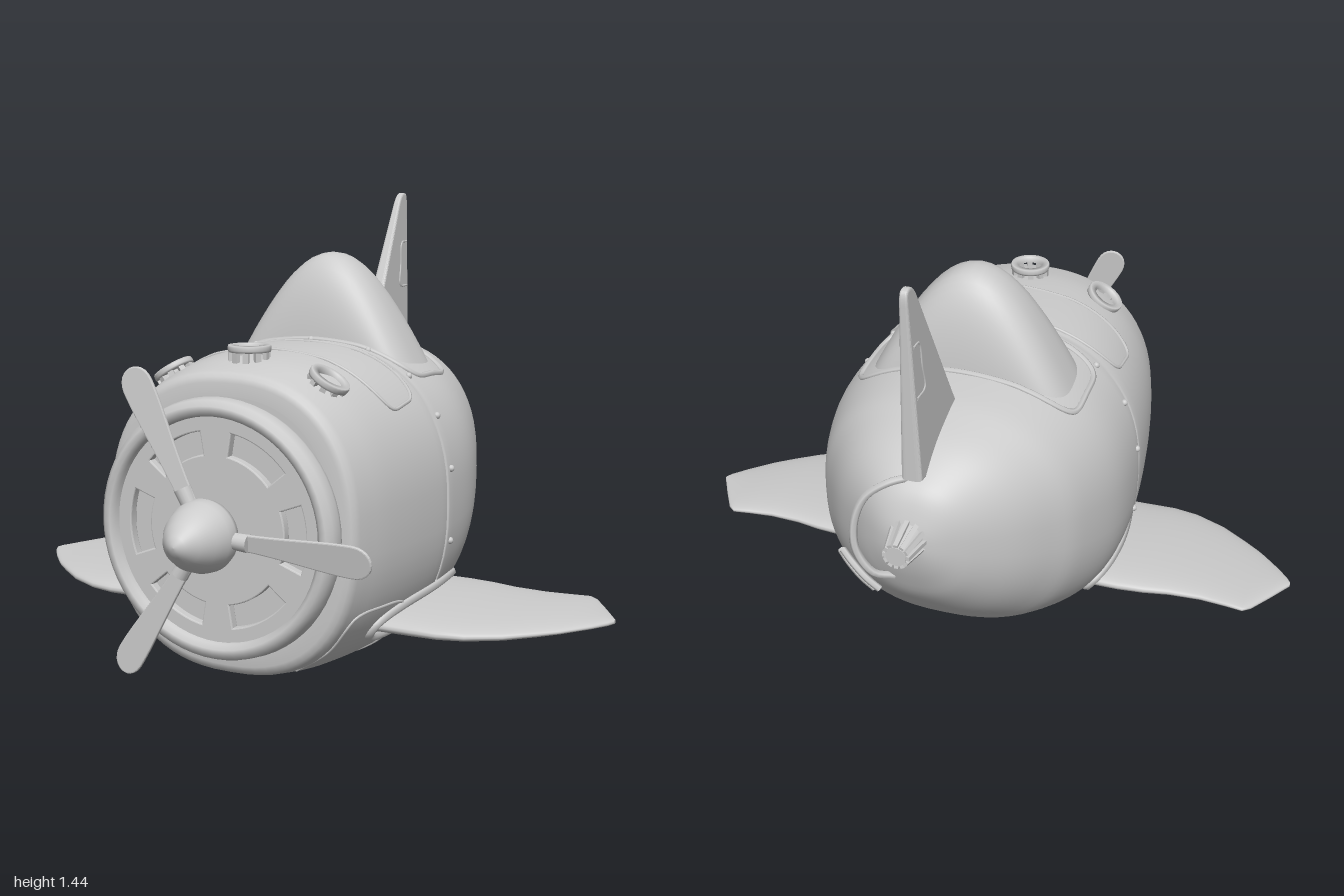
import * as THREE from 'three';

const V = (x, y, z) => new THREE.Vector3(x, y, z);
const mat = new THREE.MeshStandardMaterial({ color: 0xcccccc, side: THREE.DoubleSide });
const spow = (v, p) => Math.sign(v) * Math.abs(v) ** p;
const TAU = Math.PI * 2;
const N = 2.4; // roundness exponent of the fuselage section

// fuselage sections: z, top, bottom, half width
const rows = [
  [-.77, .69, .66, .02], [-.755, .75, .59, .075], [-.73, .81, .52, .125], [-.69, .85, .44, .18],
  [-.6, .905, .33, .275], [-.5, .94, .235, .35], [-.4, .962, .16, .41], [-.2, .982, .058, .472],
  [0, .985, .015, .483], [.2, .985, .01, .468], [.4, .972, .025, .44], [.53, .945, .05, .41],
];
const heights = new THREE.CatmullRomCurve3(rows.map(r => V(r[0], r[1], r[2])), false, 'catmullrom');
const widths = new THREE.CatmullRomCurve3(rows.map(r => V(r[0], r[3], 0)), false, 'catmullrom');

function section(z) {
  let lo = 0, hi = 1;
  for (let i = 0; i < 24; i++) {
    const m = (lo + hi) / 2;
    if (heights.getPoint(m).x < z) lo = m; else hi = m;
  }
  const h = heights.getPoint(lo);
  return { cy: (h.y + h.z) / 2, hh: (h.y - h.z) / 2, hw: widths.getPoint(lo).y };
}
const bow = v => Math.max(0, 1 - Math.min(1, Math.abs(v)) ** N) ** (1 / N);
// points on the skin, by side height or by top offset
const onSide = (z, y) => { const s = section(z); return V(s.hw * bow((y - s.cy) / s.hh), y, z); };
const onTop = (z, x) => { const s = section(z); return V(x, s.cy + s.hh * bow(x / s.hw), z); };
function skin(z, t, inset = 0) {
  const s = section(z);
  return V((s.hw - inset) * spow(Math.cos(t), 2 / N), s.cy + (s.hh - inset) * spow(Math.sin(t), 2 / N), z);
}
const loop = (n, f) => Array.from({ length: n }, (_, i) => f(i / n * TAU));

// skin stretched over closed rings, with capped ends
function loft(rings) {
  const m = rings[0].length, pts = rings.flat(), idx = [];
  for (let i = 0; i < rings.length - 1; i++) for (let j = 0; j < m; j++) {
    const a = i * m + j, b = i * m + (j + 1) % m;
    idx.push(a, b, b + m, a, b + m, a + m);
  }
  for (const [k, flip] of [[0, true], [rings.length - 1, false]]) {
    const base = pts.length;
    pts.push(...rings[k], rings[k].reduce((s, p) => s.add(p), V(0, 0, 0)).divideScalar(m));
    for (let j = 0; j < m; j++) {
      const a = base + j, b = base + (j + 1) % m;
      idx.push(...(flip ? [b, a, base + m] : [a, b, base + m]));
    }
  }
  const g = new THREE.BufferGeometry().setFromPoints(pts);
  g.setIndex(idx);
  g.computeVertexNormals();
  return g;
}

export function createModel() {
  const model = new THREE.Group();
  const add = (name, geo, parent = model) => {
    const mesh = new THREE.Mesh(geo, mat);
    mesh.name = name;
    parent.add(mesh);
    return mesh;
  };
  const tube = (name, pts, r, closed = false) => add(name,
    new THREE.TubeGeometry(new THREE.CatmullRomCurve3(pts, closed), pts.length * 4, r, 6, closed));
  const turned = (name, pts, seg = 48) => {
    const m = add(name, new THREE.LatheGeometry(pts.map(p => new THREE.Vector2(...p)), seg).rotateX(Math.PI / 2));
    m.position.y = .497;
    return m;
  };
  const body = (name, list) => add(name, loft(list.map(([z, inset]) => loop(72, t => skin(z, t, inset)))));

  // fuselage halves with a sunken seam between them
  const rear = [];
  for (let i = 0; i <= 40; i++) rear.push([-.769 + .8 * (1 - Math.cos(i / 40 * Math.PI / 2)), 0]);
  body('rearFuselage', [...rear, [.034, .003], [.035, .014]]);
  body('seam', [[.025, .012], [.06, .012]]);
  const front = [[.047, .014], [.048, .003], [.051, 0]];
  for (let i = 1; i <= 14; i++) front.push([.051 + i * .0342, 0]);
  body('engineCowl', [...front, [.545, .006], [.556, .016], [.562, .032], [.563, .07]]);
  for (let i = 0; i < 18; i++) {
    add('rivet', new THREE.SphereGeometry(.011, 10, 8)).position.copy(skin(.012, (i + .5) / 18 * TAU));
  }

  // nose ring, windowed face plate and backing
  turned('noseRing', [[.3, .555], [.36, .555], [.374, .575], [.382, .6], [.376, .632], [.36, .648],
    [.343, .648], [.33, .635], [.325, .6]], 64);
  turned('backPlate', [[.33, .57], [0, .571]]);
  const plate = new THREE.Shape().absarc(0, 0, .335, 0, TAU);
  for (let i = 0; i < 6; i++) {
    const a = i * Math.PI / 3, hole = new THREE.Path();
    hole.absarc(0, 0, .29, a - .36, a + .36, false);
    hole.absarc(0, 0, .215, a + .36, a - .36, true);
    hole.closePath();
    plate.holes.push(hole);
  }
  add('facePlate', new THREE.ExtrudeGeometry(plate, { depth: .022, bevelSize: .004, bevelThickness: .004,
    bevelSegments: 2, curveSegments: 32 })).position.set(0, .497, .594);

  // propeller
  turned('spinner', [[.07, .6], [.07, .645], [.085, .65], [.085, .664], [.1, .667], [.106, .69], [.102, .72],
    [.086, .765], [.06, .808], [.03, .838], [.012, .848], [0, .85]]);
  const blade = new THREE.Shape();
  blade.moveTo(.06, -.02);
  blade.lineTo(.16, -.022);
  blade.bezierCurveTo(.3, -.03, .38, -.045, .46, -.045);
  blade.bezierCurveTo(.53, -.045, .53, .04, .46, .042);
  blade.bezierCurveTo(.38, .042, .3, .03, .16, .022);
  blade.lineTo(.06, .02);
  for (let i = 0; i < 3; i++) {
    const arm = new THREE.Group();
    arm.name = 'propellerBlade';
    arm.position.set(0, .497, .69);
    arm.rotation.z = -.05 + i * TAU / 3;
    model.add(arm);
    add('blade', new THREE.ExtrudeGeometry(blade, { depth: .005, bevelSize: .004, bevelThickness: .003,
      bevelSegments: 2 }).translate(0, 0, -.003).rotateX(.15), arm);
    add('bladeRoot', new THREE.CylinderGeometry(.022, .026, .07, 16).rotateZ(Math.PI / 2).translate(.11, 0, 0), arm);
  }

  // slotted exhaust stubs on the cowl
  for (const s of [-1, 0, 1]) {
    const stub = new THREE.Group();
    stub.name = 'exhaustStub';
    stub.position.set(s * .235, s ? .885 : .955, .415);
    stub.rotation.z = -s * .58;
    model.add(stub);
    const ring = [[.044, 0], [.062, 0], [.064, .006], [.064, .015], [.062, .02], [.044, .02], [.044, 0]];
    for (const y of [-.045, .033]) {
      add('collar', new THREE.LatheGeometry(ring.map(p => new THREE.Vector2(p[0], p[1] + y)), 28), stub);
    }
    add('core', new THREE.CylinderGeometry(.042, .042, .06, 24).translate(0, -.035, 0), stub);
    for (let i = 0; i < 10; i++) {
      add('post', new THREE.BoxGeometry(.014, .07, .018).translate(.054, 0, 0).rotateY(i / 10 * TAU), stub);
    }
  }

  // canopy and its trim
  const canopy = [];
  for (let i = 0; i <= 36; i++) {
    const u = Math.sin((i / 36 - .5) * Math.PI * .985);
    const h = .015 + .42 * Math.cos(u * Math.PI / 2), w = .148 * Math.sqrt(1 - u ** 8);
    canopy.push(loop(48, t => V(u * .345, .82 + (Math.cos(t) > 0 ? h : .04) * spow(Math.cos(t), .78),
      -.148 + w * spow(Math.sin(t), .78))));
  }
  add('canopy', loft(canopy));
  const frame = (name, w, z0, z1, r) => tube(name, loop(56, t =>
    onTop((z0 + z1) / 2 + (z1 - z0) / 2 * spow(Math.sin(t), .36), w * spow(Math.cos(t), .36))), r, true);
  frame('canopyTrim', .345, -.3, .008, .01);
  frame('hatchOutline', .385, .068, .285, .006);

  // wings with root fairings and panel lines
  const stations = [[.3, .33, -.185, .08], [.48, .335, -.185, .074], [.56, .337, -.178, .068], [.64, .322, -.163, .06],
    [.74, .275, -.158, .052], [.82, .215, -.167, .044], [.875, .17, -.176, .036], [.9, .145, -.155, .032],
    [.95, .09, -.075, .026], [.985, .045, -.015, .02], [.998, .022, .006, .012]];
  for (const s of [1, -1]) {
    const flip = p => p.setX(p.x * s);
    const rings = stations.map(([x, f, b, d]) => loop(40, t => {
      const z = (f + b) / 2 + (f - b) / 2 * Math.sin(t);
      return V(x * s, .195 - .05 * (z - .08) + d / 2 * spow(Math.cos(t), .8), z);
    }));
    add('wing', loft(s > 0 ? rings : rings.reverse()));
    tube('wingFairing', loop(40, t => {
      const z = .085 + .275 * spow(Math.cos(t), .7);
      return flip(onSide(z, .197 - .05 * (z - .08) + .05 * spow(Math.sin(t), .8)));
    }), .016, true);
    tube('panelLine', [[.51, .08], [.51, .15], [.51, .22], [.495, .25], [.46, .262], [.38, .262], [.28, .255], [.22, .235]]
      .map(p => flip(onSide(...p))), .005);
    tube('panelLine', [[.175, .14], [.175, .09], [.175, .05], [.175, .02]].map(p => flip(onSide(...p))), .005);
  }

  // tail fin, thinning toward the tip
  const fin = new THREE.Shape();
  fin.moveTo(.41, .93);
  fin.lineTo(.445, .99);
  fin.lineTo(.67, 1.4);
  fin.quadraticCurveTo(.695, 1.44, .72, 1.43);
  fin.quadraticCurveTo(.727, 1.425, .725, 1.39);
  fin.lineTo(.708, .86);
  fin.lineTo(.6, .84);
  const finGeo = new THREE.ExtrudeGeometry(fin, { depth: .024, bevelSize: .008, bevelThickness: .012, bevelSegments: 4 });
  finGeo.translate(0, 0, -.012).rotateY(Math.PI / 2);
  const fp = finGeo.attributes.position;
  const thin = y => 1.2 - 1.35 * (y - .9);
  for (let i = 0; i < fp.count; i++) fp.setX(i, fp.getX(i) * thin(fp.getY(i)));
  finGeo.computeVertexNormals();
  add('tailFin', finGeo);
  for (const s of [1, -1]) {
    tube('rudderLine', [[1.115, -.71], [1.12, -.65], [1.19, -.66], [1.265, -.672], [1.27, -.715]]
      .map(([y, z]) => V(s * .024 * thin(y), y, z)), .004);
  }

  // ribbed tail nozzle
  const nozzle = new THREE.Group();
  nozzle.name = 'tailNozzle';
  nozzle.position.set(0, .69, -.8);
  model.add(nozzle);
  add('cone', new THREE.CylinderGeometry(.05, .03, .1, 24).rotateX(Math.PI / 2), nozzle);
  for (let i = 0; i < 12; i++) {
    add('rib', new THREE.BoxGeometry(.013, .012, .1).rotateX(-.2).translate(0, .043, 0).rotateZ(i / 12 * TAU), nozzle);
  }

  // rear cable, side pipes and vent grille
  tube('cable', [V(.02, .845, -.69), V(.07, .835, -.72), V(.13, .79, -.742), V(.16, .71, -.758), V(.155, .62, -.765),
    V(.11, .545, -.755), V(.06, .52, -.72)], .012);
  for (const d of [0, .036]) {
    tube('sidePipe', [[-.555, .45], [-.585, .435], [-.6, .4], [-.598, .365]]
      .map(([z, y]) => onSide(z - d, y + d * .85).add(V(.01, -.004, -.006))), .011);
  }
  const vent = (u, v) => onSide(-.43 - .14 * u, .25 + .115 * u + .04 * v);
  for (let k = 0; k <= 5; k++) tube('ventSlat', [0, .33, .67, 1].map(u => vent(u, k / 5)), .005);
  for (const u of [0, 1]) tube('ventEnd', [0, .5, 1].map(v => vent(u, v)), .005);
  return model;
}
